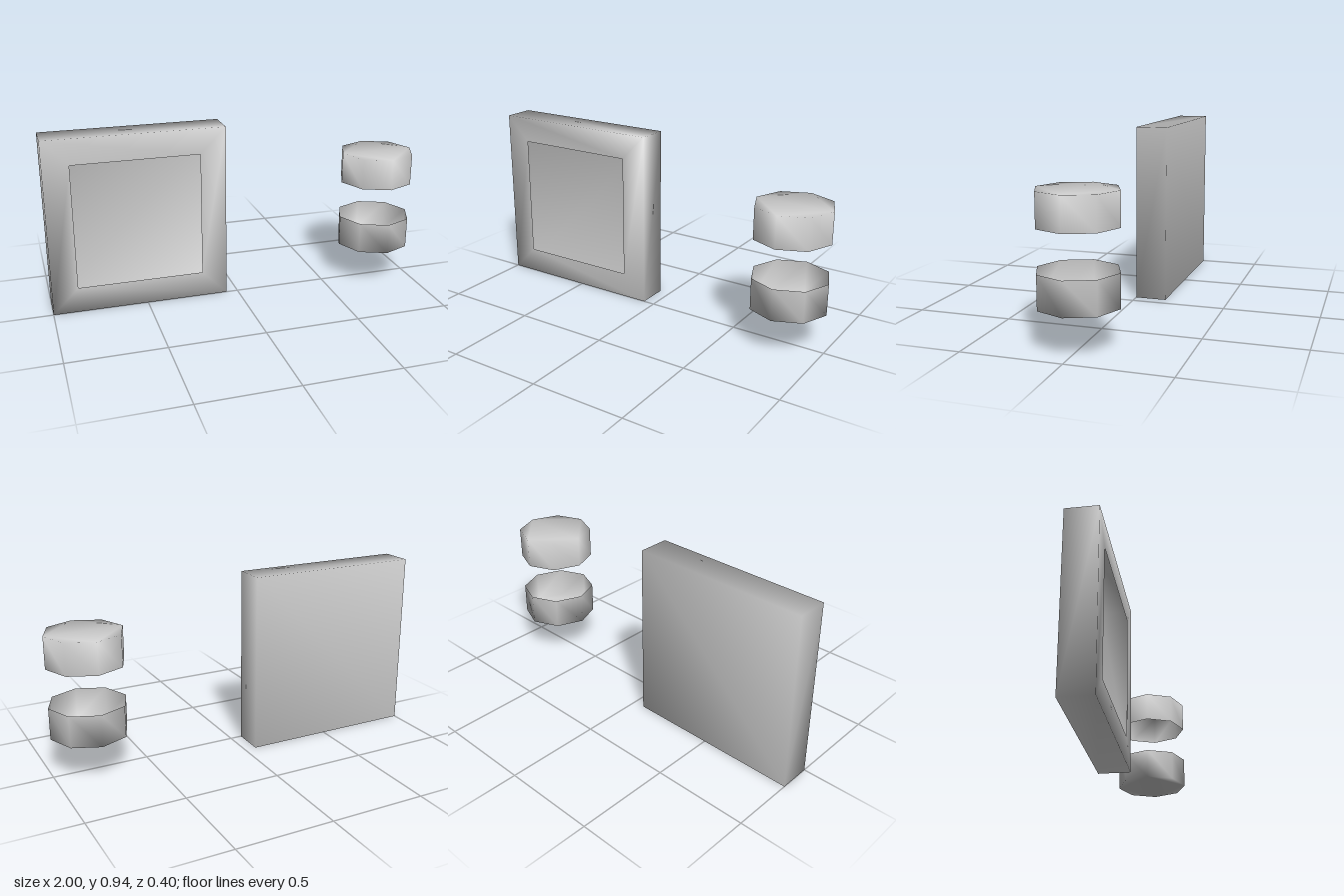
import * as THREE from 'three';

// Smooth shell open at the first loop: strips join successive loops, cap closes the last one.
function shell(loops, cap) {
  const n = loops[0].length;
  const index = [];
  for (let k = 0; k < loops.length - 1; k++) {
    for (let i = 0; i < n; i++) {
      const j = (i + 1) % n;
      const a = k * n + i, b = k * n + j, c = a + n, d = b + n;
      index.push(a, c, d, a, d, b);
    }
  }
  const last = (loops.length - 1) * n;
  for (const [a, b, c] of cap) index.push(last + a, last + c, last + b);
  const geometry = new THREE.BufferGeometry();
  geometry.setAttribute('position', new THREE.Float32BufferAttribute(loops.flat(2), 3));
  geometry.setIndex(index);
  geometry.computeVertexNormals();
  return geometry;
}

// Square loop, counterclockwise seen from the front.
function square(half, z) {
  const cx = -0.531, cy = 0.469;
  return [[-1, -1], [1, -1], [1, 1], [-1, 1]].map(([x, y]) => [cx + x * half, cy + y * half, z]);
}

// Octagonal loop; dir sets the turning direction.
function octagon(y, dir) {
  return Array.from({ length: 8 }, (_, i) => {
    const t = (i * Math.PI) / 4;
    return [0.8 + 0.2 * Math.cos(t), y, 0.2 * dir * Math.sin(t)];
  });
}

export function createModel() {
  const grey = new THREE.MeshStandardMaterial({ color: 0xcccccc, side: THREE.DoubleSide });
  grey.name = 'plain grey';
  const group = new THREE.Group();
  const add = (name, geometry) => {
    const mesh = new THREE.Mesh(geometry, grey);
    mesh.name = name;
    group.add(mesh);
  };

  // Hollow square box with a square opening in its front
  add('openFrontBox', shell(
    [square(0.333, 0), square(0.469, 0), square(0.469, -0.166)],
    [[0, 1, 2], [0, 2, 3]]
  ));

  // Octagonal cup, open at the top, and matching lid, open at the bottom
  const octagonCap = [[0, 1, 2], [2, 3, 4], [4, 5, 6], [6, 7, 0], [0, 2, 4], [0, 4, 6]];
  add('cup', shell([octagon(0.371, -1), octagon(0.206, -1)], octagonCap));
  add('lid', shell([octagon(0.572, 1), octagon(0.737, 1)], octagonCap));

  return group;
}
